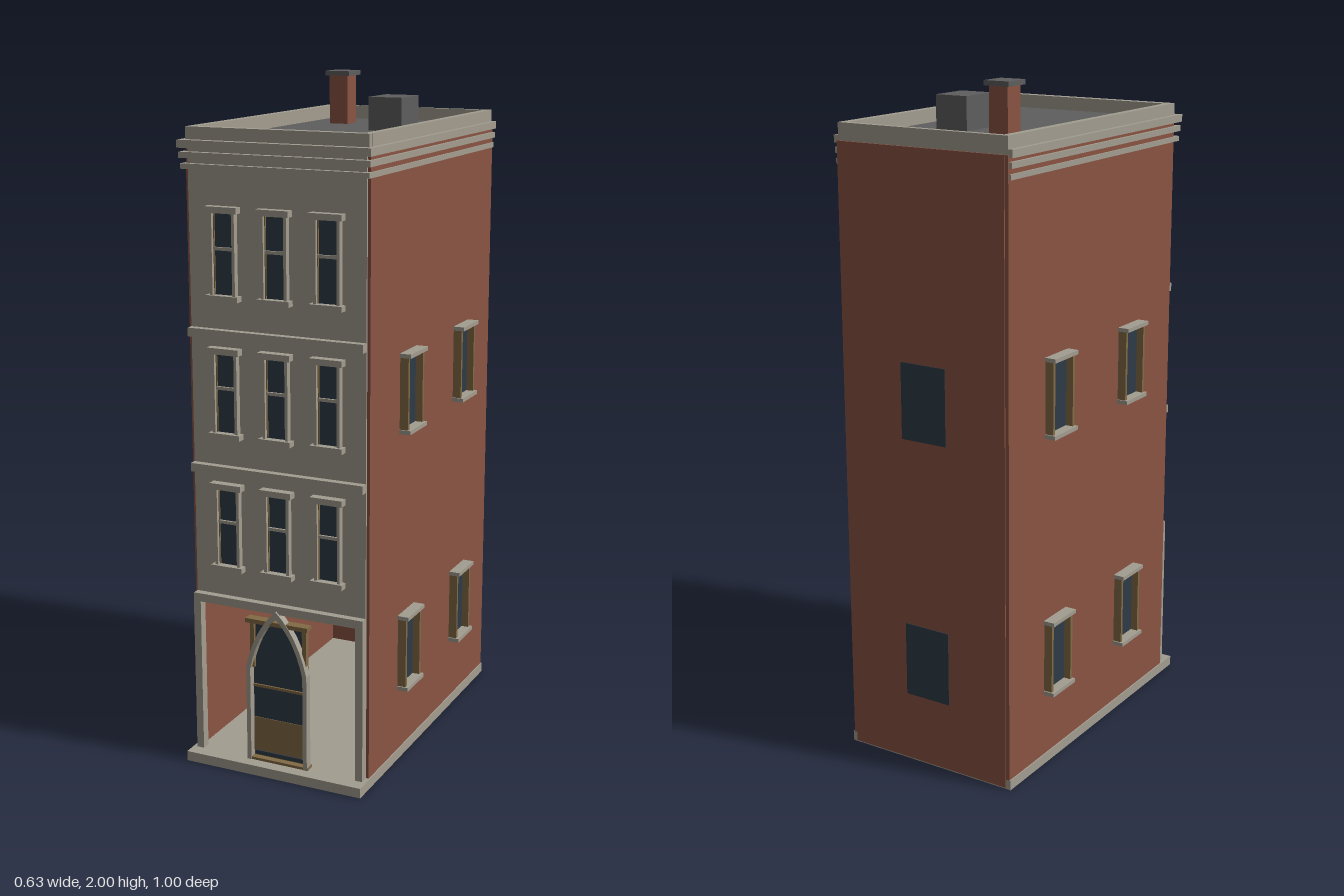
import * as THREE from 'three';

const mat = (name, color) => {
  const m = new THREE.MeshStandardMaterial({ color });
  m.name = name;
  return m;
};

export function createModel() {
  const brick = mat('brick', 0x8a5443);
  const stone = mat('stone', 0xa39d90);
  const roofGrey = mat('roof grey', 0x5e5e5e);
  const glass = mat('dark glass', 0x2d3a47);
  const wood = mat('tan wood', 0x826b45);

  const model = new THREE.Group();
  model.name = 'townhouse';

  // Box given by its limits on each axis
  const box = (name, material, [x0, x1], [y0, y1], [z0, z1], parent = model) => {
    const mesh = new THREE.Mesh(new THREE.BoxGeometry(x1 - x0, y1 - y0, z1 - z0), material);
    mesh.position.set((x0 + x1) / 2, (y0 + y1) / 2, (z0 + z1) / 2);
    mesh.name = name;
    parent.add(mesh);
    return mesh;
  };
  const group = (name) => {
    const g = new THREE.Group();
    g.name = name;
    model.add(g);
    return g;
  };

  // Base slab with front step, brick shell open at the front of the ground floor
  box('baseSlab', stone, [-0.285, 0.285], [0, 0.03], [-0.495, 0.5]);
  for (const s of [-1, 1]) {
    const xs = s < 0 ? [-0.281, -0.265] : [0.265, 0.281];
    box('sideWall', brick, xs, [0.03, 1.83], [-0.495, 0.432]);
  }
  box('backWall', brick, [-0.27, 0.27], [0.005, 1.83], [-0.498, -0.48]);
  box('ceiling', stone, [-0.265, 0.265], [0.5, 0.52], [-0.48, 0.42]);

  // Stone front, corner pillars and string courses
  box('facade', stone, [-0.272, 0.272], [0.5, 1.84], [0.41, 0.438]);
  for (const s of [-1, 1]) {
    const xs = s < 0 ? [-0.273, -0.25] : [0.25, 0.273];
    box('cornerPillar', stone, xs, [0.03, 0.5], [0.433, 0.46]);
  }
  for (const y of [0.5, 0.897, 1.295]) {
    box('stringCourse', stone, [-0.272, 0.272], [y, y + 0.025], [0.43, 0.46]);
  }

  // Roof, parapet and stepped cornice
  box('roofDeck', roofGrey, [-0.265, 0.265], [1.8, 1.84], [-0.485, 0.42]);
  box('frontParapet', stone, [-0.278, 0.278], [1.825, 1.88], [0.41, 0.438]);
  box('backParapet', stone, [-0.278, 0.278], [1.83, 1.88], [-0.492, -0.474]);
  for (const s of [-1, 1]) {
    const xs = s < 0 ? [-0.279, -0.256] : [0.256, 0.279];
    box('sideParapet', stone, xs, [1.825, 1.88], [-0.48, 0.42]);
  }
  [[1.823, 1.845, 0.293, 0.462], [1.795, 1.812, 0.29, 0.458], [1.765, 1.78, 0.287, 0.455]].forEach(([y0, y1, w, d]) => {
    box('frontCornice', stone, [-w, w], [y0, y1], [0.425, d]);
    for (const s of [-1, 1]) {
      box('sideCornice', stone, s < 0 ? [-w, -0.27] : [0.27, w], [y0, y1], [-0.492, 0.43]);
    }
  });

  // Chimney and roof hatch
  box('chimney', brick, [-0.17, -0.11], [1.83, 1.986], [-0.325, -0.262]);
  box('chimneyCap', roofGrey, [-0.18, -0.1], [1.986, 2], [-0.336, -0.252]);
  box('roofHatch', roofGrey, [0.045, 0.15], [1.83, 1.938], [-0.205, -0.076]);

  // Three rows of three front windows
  for (const y of [0.607, 1.005, 1.403]) {
    for (const x of [-0.16, 0, 0.16]) {
      const w = group('frontWindow');
      w.position.set(x, y, 0.438);
      box('pane', glass, [-0.032, 0.032], [0.015, 0.25], [-0.003, 0.004], w);
      box('sill', stone, [-0.05, 0.05], [0, 0.016], [-0.005, 0.026], w);
      box('lintel', stone, [-0.05, 0.05], [0.246, 0.264], [-0.005, 0.026], w);
      box('meetingRail', stone, [-0.03, 0.03], [0.141, 0.15], [-0.003, 0.011], w);
      for (const s of [-1, 1]) {
        box('jamb', stone, s < 0 ? [-0.04, -0.031] : [0.031, 0.04], [0.014, 0.248], [-0.005, 0.018], w);
        box('sash', wood, s < 0 ? [-0.031, -0.028] : [0.028, 0.031], [0.016, 0.246], [-0.003, 0.008], w);
      }
    }
  }

  // Framed windows on both sides, built facing +z and turned outwards
  for (const s of [-1, 1]) {
    for (const z of [0.167, -0.248]) {
      for (const y of [0.225, 1.015]) {
        const w = group('sideWindow');
        w.position.set(s * 0.281, y, z);
        w.rotation.y = s * Math.PI / 2;
        box('pane', glass, [-0.052, 0.052], [0.01, 0.225], [-0.004, 0.004], w);
        box('sill', stone, [-0.062, 0.062], [0, 0.012], [-0.005, 0.035], w);
        box('lintel', stone, [-0.062, 0.062], [0.223, 0.235], [-0.005, 0.035], w);
        for (const t of [-1, 1]) {
          box('jamb', wood, t < 0 ? [-0.058, -0.048] : [0.048, 0.058], [0.012, 0.223], [-0.005, 0.026], w);
        }
      }
    }
  }

  // Plain windows on the back
  for (const y of [0.215, 1.005]) {
    box('backWindow', glass, [-0.075, 0.075], [y, y + 0.225], [-0.5, -0.494]);
  }

  // Entrance: panelled door, transom frame and pointed arch
  const door = group('entrance');
  box('doorPanel', wood, [-0.085, 0.085], [0.03, 0.16], [0.435, 0.445], door);
  box('doorGlass', glass, [-0.085, 0.085], [0.16, 0.465], [0.435, 0.443], door);
  box('doorRail', wood, [-0.085, 0.085], [0.258, 0.266], [0.435, 0.448], door);
  box('kickPlate', glass, [-0.08, 0.08], [0.042, 0.054], [0.44, 0.449], door);
  box('threshold', wood, [-0.1, 0.1], [0.03, 0.038], [0.435, 0.464], door);
  box('transomHood', wood, [-0.1, 0.1], [0.462, 0.475], [0.435, 0.464], door);
  for (const s of [-1, 1]) {
    box('transomJamb', wood, s < 0 ? [-0.091, -0.078] : [0.078, 0.091], [0.32, 0.462], [0.435, 0.453], door);
  }
  const outline = (path, w, spring, apex, bend) => {
    path.moveTo(-w, 0.03);
    path.lineTo(w, 0.03);
    path.lineTo(w, spring);
    path.quadraticCurveTo(w * 0.72, bend, 0, apex);
    path.quadraticCurveTo(-w * 0.72, bend, -w, spring);
    path.closePath();
    return path;
  };
  const arch = outline(new THREE.Shape(), 0.098, 0.325, 0.51, 0.445);
  arch.holes.push(outline(new THREE.Path(), 0.085, 0.32, 0.487, 0.43));
  const archMesh = new THREE.Mesh(
    new THREE.ExtrudeGeometry(arch, { depth: 0.024, bevelEnabled: false, curveSegments: 6 }), stone);
  archMesh.position.z = 0.442;
  archMesh.name = 'pointedArch';
  door.add(archMesh);

  return model;
}
